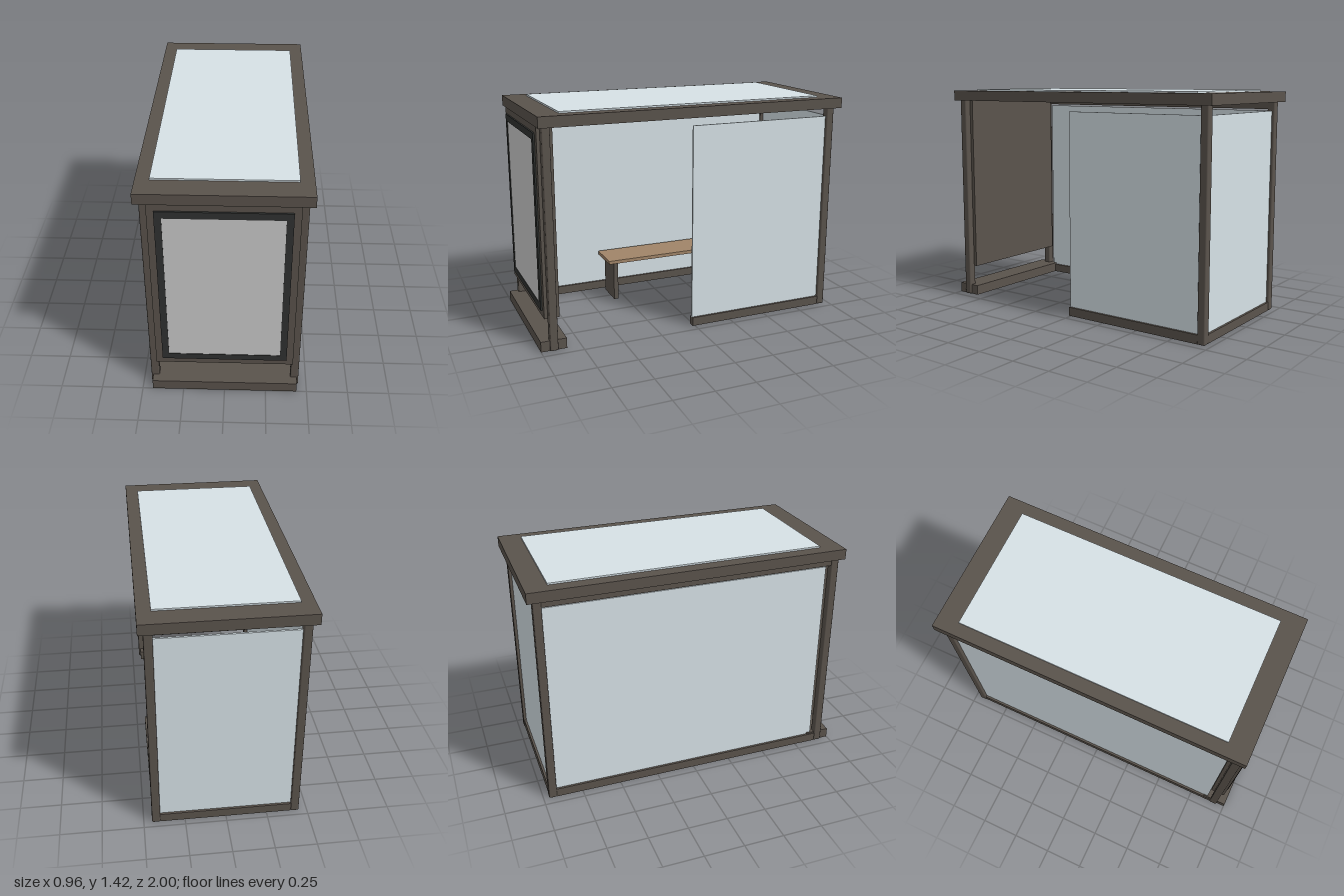
import * as THREE from 'three';
import { RoundedBoxGeometry } from 'three/addons/geometries/RoundedBoxGeometry.js';

const paint = (color) => new THREE.MeshStandardMaterial({ color });

export function createModel() {
  const group = new THREE.Group();
  group.name = 'shelter';

  const metal = paint(0x5a534c);
  const dark = paint(0x303231);
  const glass = paint(0xd6e1e6);
  const wood = paint(0xa08468);
  const poster = paint(0xc4c4c4);

  // Box given by its [min, max] range on each axis
  const box = (name, material, [x0, x1], [y0, y1], [z0, z1]) => {
    const mesh = new THREE.Mesh(new THREE.BoxGeometry(x1 - x0, y1 - y0, z1 - z0), material);
    mesh.position.set((x0 + x1) / 2, (y0 + y1) / 2, (z0 + z1) / 2);
    mesh.name = name;
    group.add(mesh);
    return mesh;
  };

  // Roof slab with a raised glass panel
  box('roof', metal, [-0.48, 0.48], [1.345, 1.41], [-1, 0.97]);
  box('roofGlass', glass, [-0.4, 0.4], [1.405, 1.42], [-0.865, 0.83]);

  // Corner posts with softened edges
  for (const side of [-1, 1]) {
    for (const [name, z] of [['frontPost', 0.92], ['backPost', -0.94]]) {
      const post = new THREE.Mesh(new RoundedBoxGeometry(0.05, 1.35, 0.05, 2, 0.008), metal);
      post.position.set(side * 0.425, 0.675, z);
      post.name = name;
      group.add(post);
    }
  }

  // Front display cabinet on its floor beam
  box('floorBeam', metal, [-0.438, 0.438], [0, 0.065], [0.84, 1]);
  box('displayCabinet', metal, [-0.41, 0.41], [0.195, 1.35], [0.872, 0.965]);
  for (const side of [-1, 1]) {
    const xs = [side * 0.33, side * 0.37].sort((a, b) => a - b);
    box('displayFrameSide', dark, xs, [0.235, 1.305], [0.955, 0.975]);
  }
  box('displayFrameTop', dark, [-0.33, 0.33], [1.262, 1.305], [0.955, 0.975]);
  box('displayFrameBottom', dark, [-0.33, 0.33], [0.235, 0.275], [0.955, 0.975]);
  box('displaySheet', poster, [-0.33, 0.33], [0.275, 1.262], [0.955, 0.972]);

  // Long wall: full length, with rails above and below
  box('longWallGlass', glass, [-0.431, -0.419], [0.05, 1.29], [-0.916, 0.868]);
  box('longWallBottomRail', metal, [-0.445, -0.405], [0, 0.055], [-0.916, 0.896]);
  box('longWallTopRail', metal, [-0.445, -0.405], [1.3, 1.35], [-0.916, 0.896]);

  // Half wall beside the entrance
  box('halfWallGlass', glass, [0.419, 0.431], [0.05, 1.29], [-0.916, 0.015]);
  box('halfWallBottomRail', metal, [0.405, 0.445], [0, 0.055], [-0.916, 0.015]);

  // Back wall
  box('backWallGlass', glass, [-0.4, 0.4], [0.05, 1.29], [-0.946, -0.934]);
  box('backWallBottomRail', metal, [-0.401, 0.401], [0, 0.055], [-0.96, -0.92]);

  // Bench along the long wall
  box('benchSeat', wood, [-0.39, -0.15], [0.265, 0.288], [-0.525, 0.37]);
  for (const z of [-0.47, 0.316]) {
    box('benchLeg', metal, [-0.365, -0.17], [0, 0.265], [z - 0.015, z + 0.015]);
  }

  return group;
}
